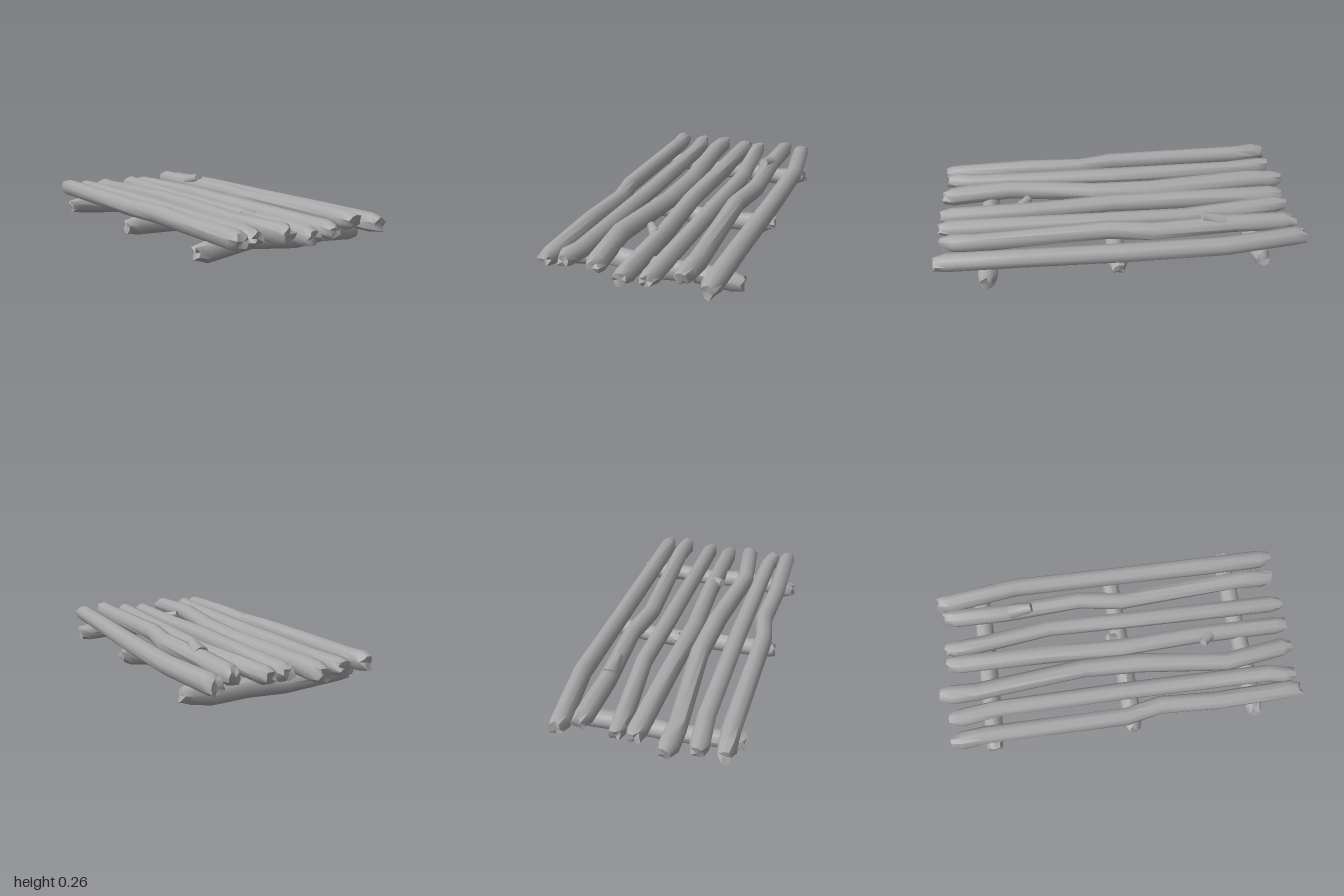
import * as THREE from 'three';
import { toCreasedNormals } from 'three/addons/utils/BufferGeometryUtils.js';

const SIDES = 9;

// Small seeded generator for the uneven bark
function seeded(seed) {
  let s = seed * 7919 + 17;
  return () => (s = (s * 16807) % 2147483647) / 2147483647;
}

// Rough branch running along z through the given points, with chamfered ends
function branchGeometry(path, radius, seed) {
  const rand = seeded(seed);
  rand();
  const first = path[0], last = path[path.length - 1];
  const inset = (end, dir) => end.clone().setZ(end.z + dir * 0.055);
  const rings = [first, inset(first, 1), ...path.slice(1, -1), inset(last, -1), last];
  const pos = [], index = [];
  rings.forEach((p, k) => {
    const isEnd = k === 0 || k === rings.length - 1;
    const turn = rand() * 0.25;
    for (let j = 0; j < SIDES; j++) {
      const a = (j / SIDES) * Math.PI * 2 + turn;
      const r = radius * (isEnd ? 0.5 + rand() * 0.35 : 0.95 + rand() * 0.12);
      const dz = isEnd ? (rand() - 0.5) * 0.03 : 0;
      pos.push(p.x + Math.cos(a) * r, p.y + Math.sin(a) * r, p.z + dz);
    }
  });
  for (let k = 0; k < rings.length - 1; k++) {
    for (let j = 0; j < SIDES; j++) {
      const n = (j + 1) % SIDES, a = k * SIDES, b = a + SIDES;
      index.push(a + j, a + n, b + n, a + j, b + n, b + j);
    }
  }
  // End caps
  const c0 = pos.length / 3, c1 = c0 + 1, e = (rings.length - 1) * SIDES;
  pos.push(...first.toArray(), ...last.toArray());
  for (let j = 0; j < SIDES; j++) {
    const n = (j + 1) % SIDES;
    index.push(c0, n, j, c1, e + j, e + n);
  }
  const g = new THREE.BufferGeometry();
  g.setAttribute('position', new THREE.Float32BufferAttribute(pos, 3));
  g.setIndex(index);
  return toCreasedNormals(g, 0.85);
}

export function createModel() {
  const root = new THREE.Group();
  root.name = 'logRaft';
  const wood = new THREE.MeshStandardMaterial({ color: 0xa8a8a8 });
  wood.name = 'greyWood';

  const add = (name, geometry) => {
    const mesh = new THREE.Mesh(geometry, wood);
    mesh.name = name;
    root.add(mesh);
    return mesh;
  };

  // Deck log: bends are [x, z] from back to front, height slopes evenly
  let logCount = 0;
  const addLog = (radius, backY, frontY, bends) => {
    const path = bends.map(([x, z]) =>
      new THREE.Vector3(x, THREE.MathUtils.mapLinear(z, -1, 1, backY, frontY), z));
    logCount++;
    add(`deckLog${logCount}`, branchGeometry(path, radius, logCount + 2));
  };
  addLog(0.049, 0.175, 0.16, [[-0.43, -0.95], [-0.42, -0.78], [-0.43, 0], [-0.395, 0.19], [-0.415, 0.5], [-0.41, 0.97]]);
  addLog(0.047, 0.16, 0.16, [[-0.3, -0.95], [-0.28, -0.7], [-0.285, 0], [-0.305, 0.82], [-0.325, 0.96]]);
  addLog(0.052, 0.155, 0.165, [[-0.16, -0.99], [-0.165, -0.8], [-0.12, -0.2], [-0.135, 0.12], [-0.2, 0.6], [-0.165, 0.98]]);
  addLog(0.05, 0.168, 0.135, [[0.005, -0.94], [-0.005, -0.4], [-0.025, 0.02], [-0.01, 0.45], [-0.02, 0.98]]);
  addLog(0.047, 0.16, 0.15, [[0.1, -0.94], [0.11, -0.75], [0.15, -0.36], [0.135, 0.05], [0.11, 0.98]]);
  addLog(0.049, 0.185, 0.175, [[0.28, -0.94], [0.27, -0.6], [0.285, -0.17], [0.245, 0.07], [0.278, 0.78], [0.268, 0.95]]);
  addLog(0.05, 0.162, 0.156, [[0.385, -0.97], [0.43, -0.53], [0.42, 0], [0.405, 0.55], [0.4, 0.98]]);

  // Cross branch underneath: bends are [x, y], built along z and turned sideways
  const addCross = (name, z, bends, seed) => {
    const path = bends.map(([x, y]) => new THREE.Vector3(-z, y, x));
    add(name, branchGeometry(path, 0.05, seed)).rotation.y = Math.PI / 2;
  };
  addCross('backCrossBranch', -0.735, [[-0.48, 0.08], [-0.1, 0.055], [0.1, 0.06], [0.3, 0.055], [0.46, 0.07]], 21);
  addCross('middleCrossBranch', 0.033, [[-0.49, 0.08], [-0.1, 0.07], [0.04, 0.055], [0.25, 0.06], [0.46, 0.075]], 22);
  addCross('frontCrossBranch', 0.715, [[-0.49, 0.07], [-0.19, 0.1], [0.08, 0.075], [0.25, 0.088], [0.49, 0.075]], 23);

  // Tapered stubs of broken-off twigs
  const up = new THREE.Vector3(0, 1, 0);
  const addStub = (name, from, to, radius) => {
    const base = new THREE.Vector3(...from), tip = new THREE.Vector3(...to);
    const dir = tip.clone().sub(base);
    const cone = new THREE.CylinderGeometry(radius * 0.6, radius, dir.length(), 7);
    const stub = add(name, toCreasedNormals(cone, 0.95));
    stub.position.copy(base).add(tip).multiplyScalar(0.5);
    stub.quaternion.setFromUnitVectors(up, dir.normalize());
  };
  addStub('centreLogStub', [-0.03, 0.16, 0.535], [-0.08, 0.185, 0.49], 0.035);
  addStub('topStub', [0.265, 0.2, -0.56], [0.26, 0.238, -0.44], 0.045);
  addStub('middleBranchStub', [0.06, 0.07, 0.02], [0.06, 0.11, -0.035], 0.035);
  addStub('frontBranchStub', [0.25, 0.08, 0.72], [0.245, 0.07, 0.775], 0.032);
  addStub('backBranchStub', [-0.45, 0.08, -0.72], [-0.47, 0.09, -0.78], 0.035);

  return root;
}
